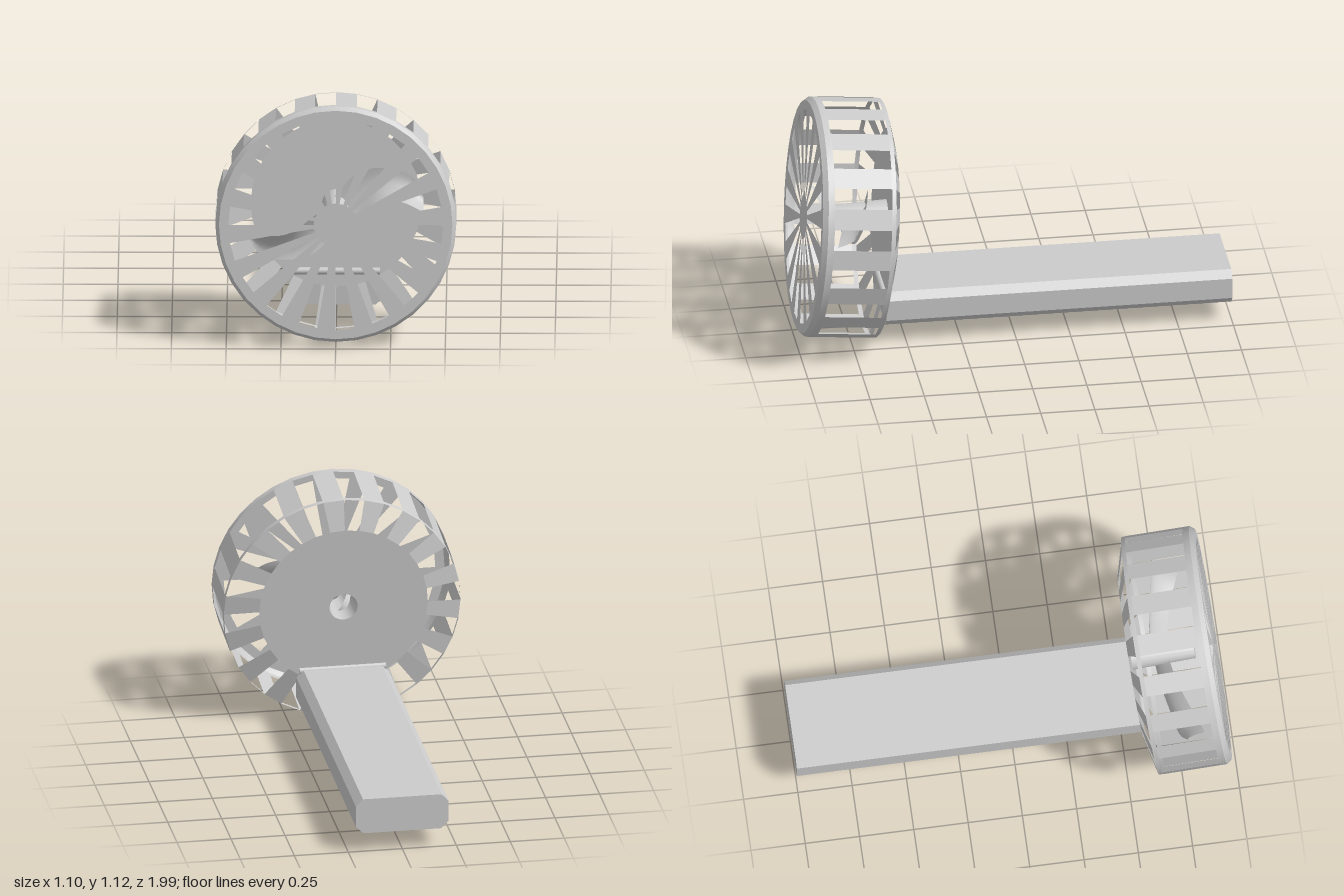
import * as THREE from 'three';
import { toCreasedNormals } from 'three/addons/utils/BufferGeometryUtils.js';

const SIDES = 36;
const material = new THREE.MeshStandardMaterial({ color: 0xcccccc, side: THREE.DoubleSide });

function addMesh(parent, name, geometry) {
  const mesh = new THREE.Mesh(geometry, material);
  mesh.name = name;
  parent.add(mesh);
  return mesh;
}

// Point k on a ring [radius, depth, lift]; counting starts at the top
function ringPoint([r, z, lift = 0], k) {
  const a = Math.PI / 2 + (k / SIDES) * Math.PI * 2;
  return [r * Math.cos(a), r * Math.sin(a) + lift, z];
}

// Sheet between two rings; a slotted band keeps every second panel as a bar
function band(ringA, ringB, slotted) {
  const p = [];
  for (let k = slotted ? 1 : 0; k < SIDES; k += slotted ? 2 : 1) {
    const a = ringPoint(ringA, k), b = ringPoint(ringA, k + 1);
    const c = ringPoint(ringB, k + 1), d = ringPoint(ringB, k);
    p.push(...a, ...b, ...c, ...a, ...c, ...d);
  }
  const geometry = new THREE.BufferGeometry();
  geometry.setAttribute('position', new THREE.Float32BufferAttribute(p, 3));
  return toCreasedNormals(geometry, 0.4);
}

// Curved blade lofted between its leading and trailing edges
function bladeGeometry() {
  const lead = new THREE.CatmullRomCurve3([
    [-0.02, 0.06, 0.06], [0.09, 0.18, 0.07], [0.2, 0.215, 0.09],
    [0.34, 0.185, 0.12], [0.4, 0.11, 0.16],
  ].map((v) => new THREE.Vector3(...v)));
  const trail = new THREE.CatmullRomCurve3([
    [0.05, -0.03, 0.13], [0.1, 0.0, 0.14], [0.2, 0.07, 0.17],
    [0.3, 0.08, 0.21], [0.4, 0.04, 0.24],
  ].map((v) => new THREE.Vector3(...v)));
  const geometry = new THREE.PlaneGeometry(1, 1, 16, 6);
  const pos = geometry.attributes.position;
  for (let i = 0; i < pos.count; i++) {
    const u = THREE.MathUtils.clamp(pos.getX(i) + 0.5, 0, 1);
    const v = THREE.MathUtils.clamp(pos.getY(i) + 0.5, 0, 1);
    const q = trail.getPoint(u).lerp(lead.getPoint(u), v);
    q.z -= 0.03 * Math.sin(Math.PI * v);
    pos.setXYZ(i, q.x, q.y, q.z);
  }
  geometry.computeVertexNormals();
  return geometry;
}

export function createModel() {
  const model = new THREE.Group();
  model.name = 'fan';

  // Cage, leaning back slightly
  const head = new THREE.Group();
  head.name = 'fanHead';
  head.position.set(0, 0.553, 0.61);
  head.rotation.x = -THREE.MathUtils.degToRad(5);
  model.add(head);

  const front = 0.338, back = -0.04, lift = 0.022;
  addMesh(head, 'frontHub', band([0, front], [0.1, front]));
  addMesh(head, 'frontSpokes', band([0.1, front], [0.49, front], true));
  addMesh(head, 'frontRim', band([0.49, front], [0.533, front]));
  addMesh(head, 'frontBevel', band([0.533, front], [0.55, 0.315]));
  addMesh(head, 'sideRim', band([0.55, 0.315], [0.55, 0.285]));
  addMesh(head, 'sideBars', band([0.55, 0.285], [0.55, 0.02], true));
  addMesh(head, 'backRim', band([0.55, 0.02], [0.548, 0]));
  addMesh(head, 'backSpokes', band([0.548, 0], [0.39, back, lift], true));
  addMesh(head, 'backPlate', band([0.39, back, lift], [0.065, back, lift]));

  // Open shaft behind the hole of the back plate
  addMesh(head, 'shaft', band([0.065, back, lift], [0.05, 0.25, 0]));
  addMesh(head, 'shaftCap', band([0.05, 0.25], [0, 0.25]));

  // Two-bladed propeller
  const blade = bladeGeometry();
  for (let i = 0; i < 2; i++) {
    addMesh(head, 'blade', blade).rotation.z = i * Math.PI;
  }

  // Long handle with bevelled edges
  const section = new THREE.Shape([
    [-0.18, 0.095], [0.18, 0.095], [0.215, 0.13], [0.215, 0.228],
    [0.182, 0.262], [-0.182, 0.262], [-0.215, 0.228], [-0.215, 0.13],
  ].map(([x, y]) => new THREE.Vector2(x, y)));
  const handle = new THREE.ExtrudeGeometry(section, { depth: 1.595, bevelEnabled: false });
  addMesh(model, 'handle', handle).position.z = -1;

  // Hinge pin joining handle and cage
  const pin = new THREE.CylinderGeometry(0.017, 0.017, 0.4, 16);
  pin.rotateZ(Math.PI / 2);
  addMesh(model, 'hingePin', pin).position.set(0, 0.257, 0.6);

  return model;
}
